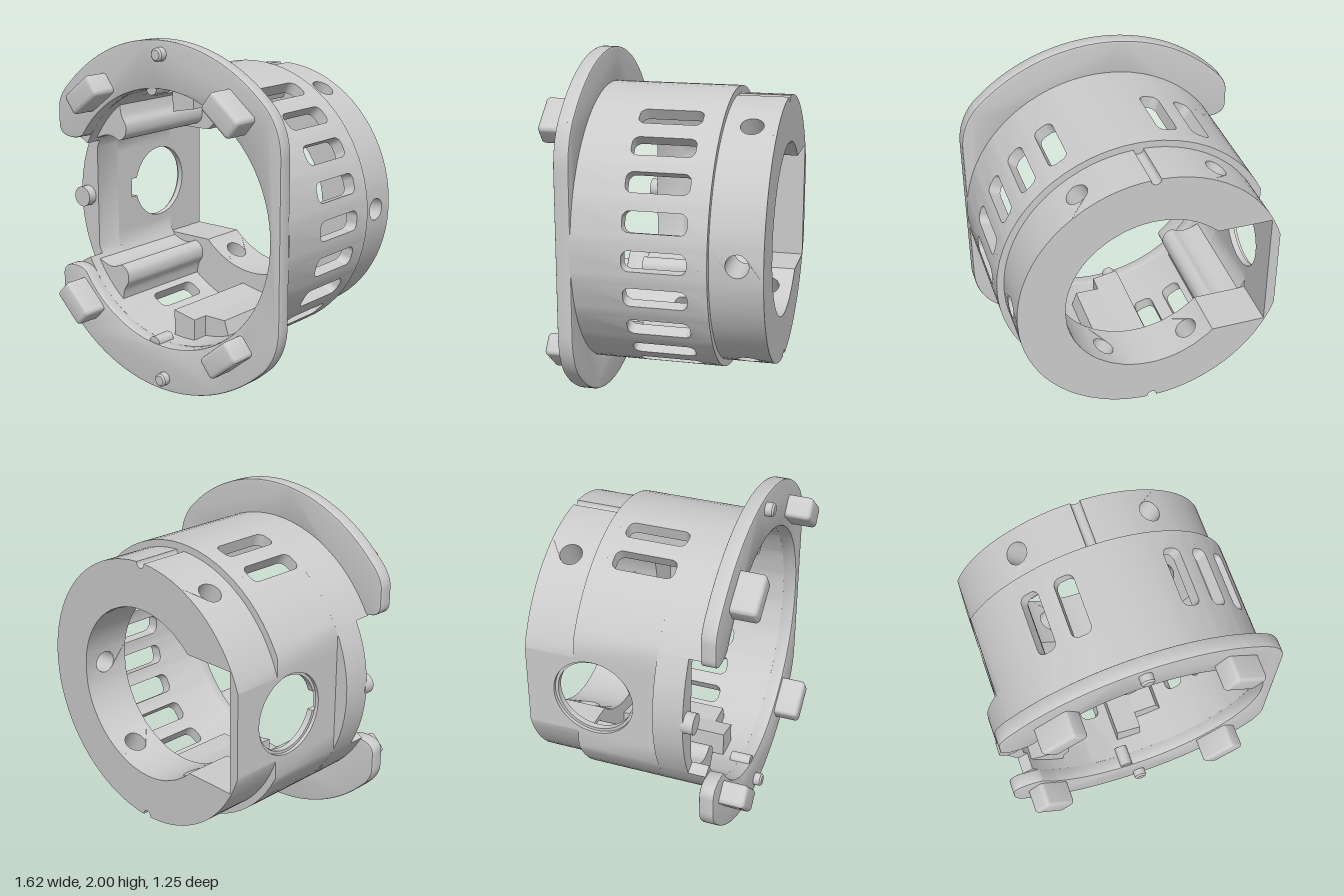
import * as THREE from 'three';
import { mergeGeometries, toCreasedNormals } from 'three/addons/utils/BufferGeometryUtils.js';
import { RoundedBoxGeometry } from 'three/addons/geometries/RoundedBoxGeometry.js';

const material = new THREE.MeshStandardMaterial({ color: 0xcccccc, side: THREE.DoubleSide });
const DEG = Math.PI / 180;

// Points along an arc round the main axis, angles in radians
function arc(r, a0, a1) {
  const n = Math.max(1, Math.ceil(Math.abs(a1 - a0) / (5 * DEG)));
  return Array.from({ length: n + 1 }, (_, i) => {
    const a = a0 + ((a1 - a0) * i) / n;
    return [r * Math.cos(a), r * Math.sin(a)];
  });
}
const toShape = (pts) => new THREE.Shape(pts.map(([x, y]) => new THREE.Vector2(x, y)));
const mirrorY = (pts) => pts.map(([x, y]) => [x, -y]);

// Prism along z between two depths
function prism(pts, z0, z1) {
  return new THREE.ExtrudeGeometry(toShape(pts), { depth: z1 - z0, bevelEnabled: false }).translate(0, 0, z0);
}
const prismPair = (pts, z0, z1) => [prism(pts, z0, z1), prism(mirrorY(pts), z0, z1)];

// Ring sector whose ends meet parallel-sided panels of half width w
function sector(ri, ro, a0, a1, w, outer = null) {
  const s = (r) => Math.asin(w / r);
  return [
    ...(outer || arc(ro, a0 * DEG + s(ro), a1 * DEG - s(ro))),
    ...arc(ri, a1 * DEG - s(ri), a0 * DEG + s(ri)),
  ];
}

// Curved wall panel with an opening cut straight through it
function panel(ri, ro, angle, w, z0, z1, opening) {
  const shape = toShape([[-w, z0], [0, z0], [w, z0], [w, z1], [0, z1], [-w, z1]]);
  shape.holes.push(opening);
  const g = new THREE.ExtrudeGeometry(shape, { depth: 1, bevelEnabled: false, curveSegments: 8 });
  const p = g.attributes.position, c = Math.cos(angle * DEG), s = Math.sin(angle * DEG);
  for (let i = 0; i < p.count; i++) {
    const u = p.getX(i), r = ri + (ro - ri) * p.getZ(i), d = Math.sqrt(r * r - u * u);
    p.setXYZ(i, d * c - u * s, d * s + u * c, p.getY(i));
  }
  return g;
}
function roundedSlot(w, z0, z1, r) {
  const h = new THREE.Path();
  h.moveTo(-w + r, z0).lineTo(w - r, z0).absarc(w - r, z0 + r, r, -Math.PI / 2, 0);
  h.absarc(w - r, z1 - r, r, 0, Math.PI / 2).absarc(-w + r, z1 - r, r, Math.PI / 2, Math.PI);
  return h.absarc(-w + r, z0 + r, r, Math.PI, Math.PI * 1.5);
}
const circlePath = (x, y, r) => new THREE.Path().absarc(x, y, r, 0, Math.PI * 2);

export function createModel() {
  const group = new THREE.Group();
  const body = new THREE.Group();
  body.position.y = 1;
  group.add(body);
  const add = (name, geos) => {
    const clean = [].concat(geos).map((g) => (g.index ? g.toNonIndexed() : g));
    const mesh = new THREE.Mesh(toCreasedNormals(mergeGeometries(clean), 0.5), material);
    mesh.name = name;
    body.add(mesh);
    return mesh;
  };

  // Main tube: slots every 15 degrees, solid sectors between
  const RI = 0.735, RO = 0.805, W = 0.075, zB = -0.34, zF = 0.405;
  const tube = [];
  const slots = [-120, -105, -60, -45, -30, -15, 0, 15, 30, 45, 60, 105, 120];
  slots.forEach((a, i) => {
    tube.push(panel(RI, RO, a, W, zB, zF, roundedSlot(0.057, -0.23, 0.12, 0.04)));
    if (i) tube.push(prism(sector(RI, RO, slots[i - 1], a, W), zB, zF));
  });
  const aI = 120 * DEG + Math.asin(W / RI), aO = 120 * DEG + Math.asin(W / RO);
  const flatO = Math.PI - Math.acos(0.725 / RO), flatI = Math.PI - Math.acos(0.67 / RI);
  tube.push(...prismPair([
    ...arc(RI, aI, flatI), [-0.67, 0.24], [-0.725, 0.24], ...arc(RO, flatO, aO),
  ], zB, 0.135));
  tube.push(...prismPair([...arc(RO, aO, 152 * DEG), ...arc(RI, 152 * DEG, aI)], 0.135, zF));
  add('slottedTube', tube);

  // Solid segment at the front of the flat side, with its locating pin
  const seg = arc(RO, 152 * DEG, 208 * DEG);
  add('sideSegment', prism([...seg, ...arc(RI, 208 * DEG, Math.PI * 2 - flatI),
    ...arc(RI, flatI, 152 * DEG)], 0.135, 0.305));
  add('sidePin', new THREE.CylinderGeometry(0.06, 0.06, 0.07, 24).rotateX(Math.PI / 2).translate(-0.75, 0, 0.325));

  // Rear collar: thick ring with radial holes, outside grooves and a square side opening
  const CI = 0.5, CO = 0.765, CW = 0.085, zR = -0.63;
  const collar = [-120, -60, 0, 60, 120].map((a) =>
    panel(CI, CO, a, CW, zR, zB, circlePath(0, -0.49, 0.064)));
  collar.push(...prismPair(sector(CI, CO, 0, 60, CW), zR, zB));
  const edge = Math.asin(CW / CO), g = Math.asin(0.028 / CO);
  const grooved = [
    ...arc(CO, 60 * DEG + edge, 90 * DEG - g),
    ...arc(0.028, 0, -Math.PI).map(([x, y]) => [x, y + 0.762]),
    ...arc(CO, 90 * DEG + g, 120 * DEG - edge),
  ];
  collar.push(...prismPair(sector(CI, CO, 60, 120, CW, grooved), zR, zB));
  collar.push(...prismPair([
    ...arc(CI, 120 * DEG + Math.asin(CW / CI), Math.PI - Math.asin(0.35 / CI)),
    [-0.67, 0.35], [-0.67, 0.24], [-0.725, 0.24],
    ...arc(CO, Math.PI - Math.acos(0.725 / CO), 120 * DEG + edge),
  ], zR, zB));
  add('rearCollar', collar);

  // Flat side plate with a stepped round window and a notch
  const plateLayer = (hole, x0, x1) => {
    const s = toShape([[-0.135, -0.24], [0.63, -0.24], [0.63, 0.24], [-0.135, 0.24]]);
    s.holes.push(hole);
    return new THREE.ExtrudeGeometry(s, { depth: x1 - x0, bevelEnabled: false, curveSegments: 40 })
      .rotateY(Math.PI / 2).translate(x0, 0, 0);
  };
  const t = Math.asin(0.057 / 0.215);
  const notched = new THREE.Path().absarc(0.24, 0, 0.215, Math.PI + t, Math.PI * 3 - t);
  notched.lineTo(-0.015, 0.057).lineTo(-0.015, -0.057).closePath();
  add('sidePlate', [
    plateLayer(circlePath(0.24, 0, 0.232), -0.725, -0.705),
    plateLayer(notched, -0.705, -0.67),
  ]);

  // Front flange: clipped disc, open on one side with rounded lobes
  const lobe = new THREE.Path();
  lobe.moveTo(0.8, 0).lineTo(0.8, 0.45).quadraticCurveTo(0.8, 0.6, 0.71, 0.704);
  lobe.absarc(0, 0, 1, Math.atan2(0.704, 0.71), Math.PI - Math.atan2(0.704, 0.71));
  lobe.quadraticCurveTo(-0.8, 0.625, -0.8, 0.55).lineTo(-0.8, 0.46);
  lobe.quadraticCurveTo(-0.8, 0.385, -0.7, 0.385).quadraticCurveTo(-0.64, 0.385, -0.61, 0.41);
  const half = lobe.getPoints(24).map((p) => [p.x, p.y]);
  const tip = Math.atan2(0.41, -0.61);
  const flange = toShape([
    ...half, ...arc(RI, tip, -tip), ...mirrorY(half).reverse().slice(0, -1),
  ]);
  add('frontFlange', new THREE.ExtrudeGeometry(flange, {
    depth: 0.068, bevelThickness: 0.008, bevelSize: 0.008, bevelOffset: -0.008, bevelSegments: 2,
  }).translate(0, 0, 0.406));

  // Raised tabs on the flange: x, y, direction in degrees
  [[0.51, 0.67, 51], [-0.48, 0.67, 127], [-0.59, -0.57, 225], [0.5, -0.655, -51]].forEach(([x, y, a]) => {
    add('flangeTab', new RoundedBoxGeometry(0.13, 0.235, 0.19, 4, 0.025)
      .rotateZ(a * DEG).translate(x, y, 0.53));
  });

  // Parts repeated at top and bottom
  for (const s of [1, -1]) {
    const pin = [[0, 0], [0.038, 0], [0.038, 0.045], [0.028, 0.055], [0, 0.055]];
    add('flangePin', new THREE.LatheGeometry(pin.map(([x, y]) => new THREE.Vector2(x, y)), 20)
      .rotateX(Math.PI / 2).translate(0, s * 0.925, 0.475));
    add('keyBump', new THREE.CylinderGeometry(0.038, 0.038, 0.12, 20)
      .rotateX(Math.PI / 2).translate(-0.08, s * 0.732, 0.415));

    // Stepped stop block inside the tube
    const flip = (pts) => (s > 0 ? pts : mirrorY(pts));
    add('stopBlock', [
      prism(flip([[-0.08, 0.735], [-0.08, 0.58], [0.07, 0.61], [0.07, 0.737]]), zB, 0.3),
      prism(flip([[0.07, 0.737], [0.07, 0.61], [0.21, 0.61], [0.24, 0.7]]), zB, 0.2),
    ]);

    // Rounded rib running along the inside next to the side opening
    const curve = new THREE.SplineCurve([
      [-0.645, 0.365], [-0.56, 0.395], [-0.505, 0.392], [-0.455, 0.375], [-0.41, 0.41],
      [-0.405, 0.47], [-0.435, 0.52], [-0.45, 0.59],
    ].map(([x, y]) => new THREE.Vector2(x, y)));
    const rib = curve.getPoints(32).map((p) => [p.x, p.y]);
    add('innerRib', prism(flip([
      ...rib, ...arc(0.745, Math.atan2(0.59, -0.45), Math.atan2(0.365, -0.645)),
    ]), zB, 0.34));
  }
  return group;
}
